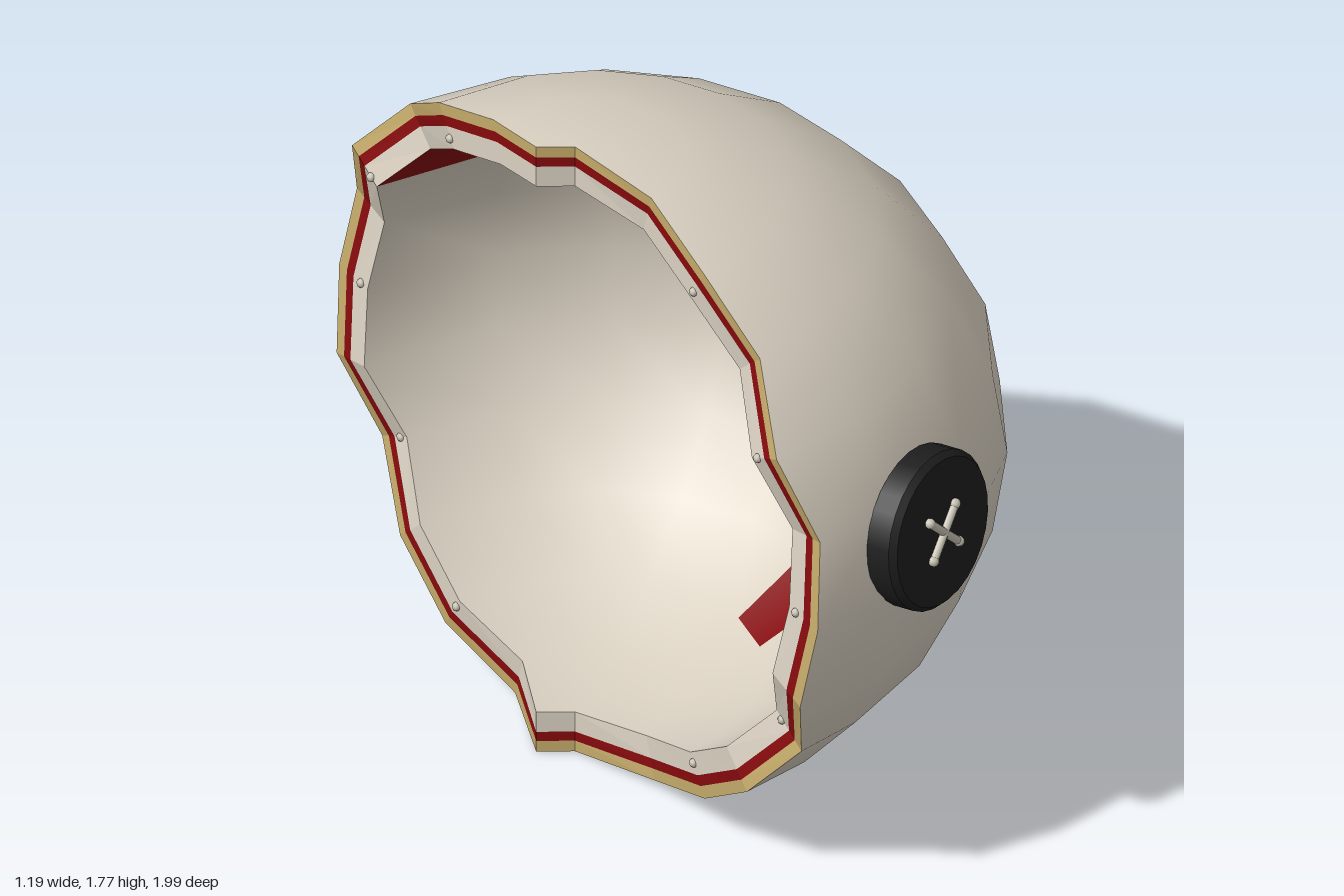
import * as THREE from 'three';

const mat = (name, color, side = THREE.FrontSide) => {
  const m = new THREE.MeshStandardMaterial({ color, side });
  m.name = name;
  return m;
};

// Ellipsoid centre and radii, latitude rows and the torn edge's x on each row
const C = new THREE.Vector3(-0.49, 0.885, -0.015);
const R = new THREE.Vector3(1.08, 0.885, 0.982);
const ROWS = 12, COLS = 10;
const TEAR_FRONT = [-0.43, -0.43, -0.4, -0.455, -0.39, -0.42, -0.45, -0.38, -0.44, -0.43, -0.42];
const TEAR_BACK = [-0.57, -0.57, -0.52, -0.59, -0.51, -0.54, -0.57, -0.5, -0.55, -0.55, -0.5];

// Point on a layer of the shell; k scales the layer, columns 0 and COLS follow the tear
function shellPoint(i, j, k) {
  if (i === 0 || i === ROWS) {
    const y = C.y + (i === 0 ? 1 : -1) * R.y * k;
    return j === COLS ? new THREE.Vector3(-0.57, y, C.z - 0.05) : new THREE.Vector3(C.x, y, C.z);
  }
  const lat = Math.PI / 2 - (i * Math.PI) / ROWS;
  const r = Math.cos(lat) * k;
  const tear = (x) => Math.acos(THREE.MathUtils.clamp((x - C.x) / (R.x * r), -1, 1));
  let lon = ((5 - j) * Math.PI) / 10;
  if (j === 0) lon = tear(TEAR_FRONT[i - 1]);
  if (j === COLS) lon = -tear(TEAR_BACK[i - 1]);
  return new THREE.Vector3(
    C.x + R.x * r * Math.cos(lon),
    C.y + R.y * k * Math.sin(lat),
    C.z + R.z * r * Math.sin(lon)
  );
}

// Smooth shell layer; inward flips it, and cells chosen by isPatch use the second material
function shellGeometry(k, inward, isPatch = () => false) {
  const pos = [], nor = [], plain = [], patch = [];
  for (let i = 0; i <= ROWS; i++) {
    for (let j = 0; j <= COLS; j++) {
      const p = shellPoint(i, j, k);
      const n = p.clone().sub(C).divide(R).divide(R).normalize();
      if (inward) n.negate();
      pos.push(p.x, p.y, p.z);
      nor.push(n.x, n.y, n.z);
    }
  }
  for (let i = 0; i < ROWS; i++) {
    for (let j = 0; j < COLS; j++) {
      const a = i * (COLS + 1) + j, b = a + COLS + 1;
      const tris = inward ? [a, a + 1, b, b, a + 1, b + 1] : [a, b, a + 1, b, b + 1, a + 1];
      (isPatch(i, j) ? patch : plain).push(...tris);
    }
  }
  const g = new THREE.BufferGeometry();
  g.setAttribute('position', new THREE.Float32BufferAttribute(pos, 3));
  g.setAttribute('normal', new THREE.Float32BufferAttribute(nor, 3));
  g.setIndex([...plain, ...patch]);
  g.addGroup(0, plain.length, 0);
  g.addGroup(plain.length, patch.length, 1);
  return g;
}

// Closed walk round the tear: down the front edge, up the back edge
function tearLoop(k) {
  const pts = [];
  for (let i = 0; i <= ROWS; i++) pts.push(shellPoint(i, 0, k));
  for (let i = ROWS; i >= 0; i--) pts.push(shellPoint(i, COLS, k));
  return pts;
}

// Flat band of the torn edge between two layers
function tearBand(kOuter, kInner) {
  const o = tearLoop(kOuter), n = tearLoop(kInner), pts = [];
  o.forEach((p, i) => {
    const q = (i + 1) % o.length;
    pts.push(p, n[i], n[q], p, n[q], o[q]);
  });
  const g = new THREE.BufferGeometry().setFromPoints(pts);
  g.computeVertexNormals();
  return g;
}

export function createModel() {
  const cream = mat('cream', 0xd9d0c1, THREE.DoubleSide);
  const red = mat('dark red', 0x850a0d, THREE.DoubleSide);
  const tan = mat('tan', 0xc4aa6a, THREE.DoubleSide);
  const black = mat('button black', 0x1d1d1d);
  const thread = mat('thread', 0xc8c2b4);

  const model = new THREE.Group();
  model.name = 'tornHead';
  const add = (parent, name, geometry, material) => {
    const m = new THREE.Mesh(geometry, material);
    m.name = name;
    parent.add(m);
    return m;
  };

  // Shell and its lining with three bare patches
  const inner = 0.87;
  add(model, 'outerShell', shellGeometry(1, false), cream);
  const bare = (i, j) =>
    ((i === 2 || i === 3) && (j === 0 || j === 9)) || ((i === 8 || i === 9) && j === 4);
  add(model, 'innerLining', shellGeometry(inner, true, bare), [cream, red]);

  // Layers showing on the torn edge
  add(model, 'tearTanLayer', tearBand(1, 0.965), tan);
  add(model, 'tearRedLayer', tearBand(0.965, 0.935), red);
  add(model, 'tearCreamLayer', tearBand(0.935, inner), cream);

  // Small thread knots along the torn edge
  const knot = new THREE.SphereGeometry(0.012, 8, 6);
  for (let i = 2; i <= 10; i += 2) {
    for (const j of [0, COLS]) add(model, 'edgeKnot', knot, thread).position.copy(shellPoint(i, j, 0.9));
  }

  // Button eye, local z pointing out of the face
  const button = new THREE.Group();
  button.name = 'buttonEye';
  button.position.set(-0.045, 1.003, 0.88);
  button.rotation.set(-0.1, 0.39, 0, 'YXZ');
  const disc = (name, rFront, rBack, depth, z) => {
    const g = new THREE.CylinderGeometry(rFront, rBack, depth, 28);
    g.rotateX(Math.PI / 2);
    add(button, name, g, black).position.z = z;
  };
  disc('buttonBody', 0.204, 0.204, 0.064, -0.008);
  disc('buttonBevel', 0.19, 0.204, 0.016, 0.032);

  // Crossed stitches with a knot at each end
  for (const s of [-1, 1]) {
    const stitch = new THREE.Group();
    stitch.name = 'stitch';
    stitch.position.z = 0.046;
    stitch.rotation.z = (s * Math.PI) / 4;
    add(stitch, 'stitchThread', new THREE.CylinderGeometry(0.011, 0.011, 0.15, 8), thread);
    for (const e of [-1, 1]) {
      add(stitch, 'stitchEnd', new THREE.SphereGeometry(0.014, 8, 6), thread).position.y = e * 0.075;
    }
    button.add(stitch);
  }
  model.add(button);
  return model;
}
